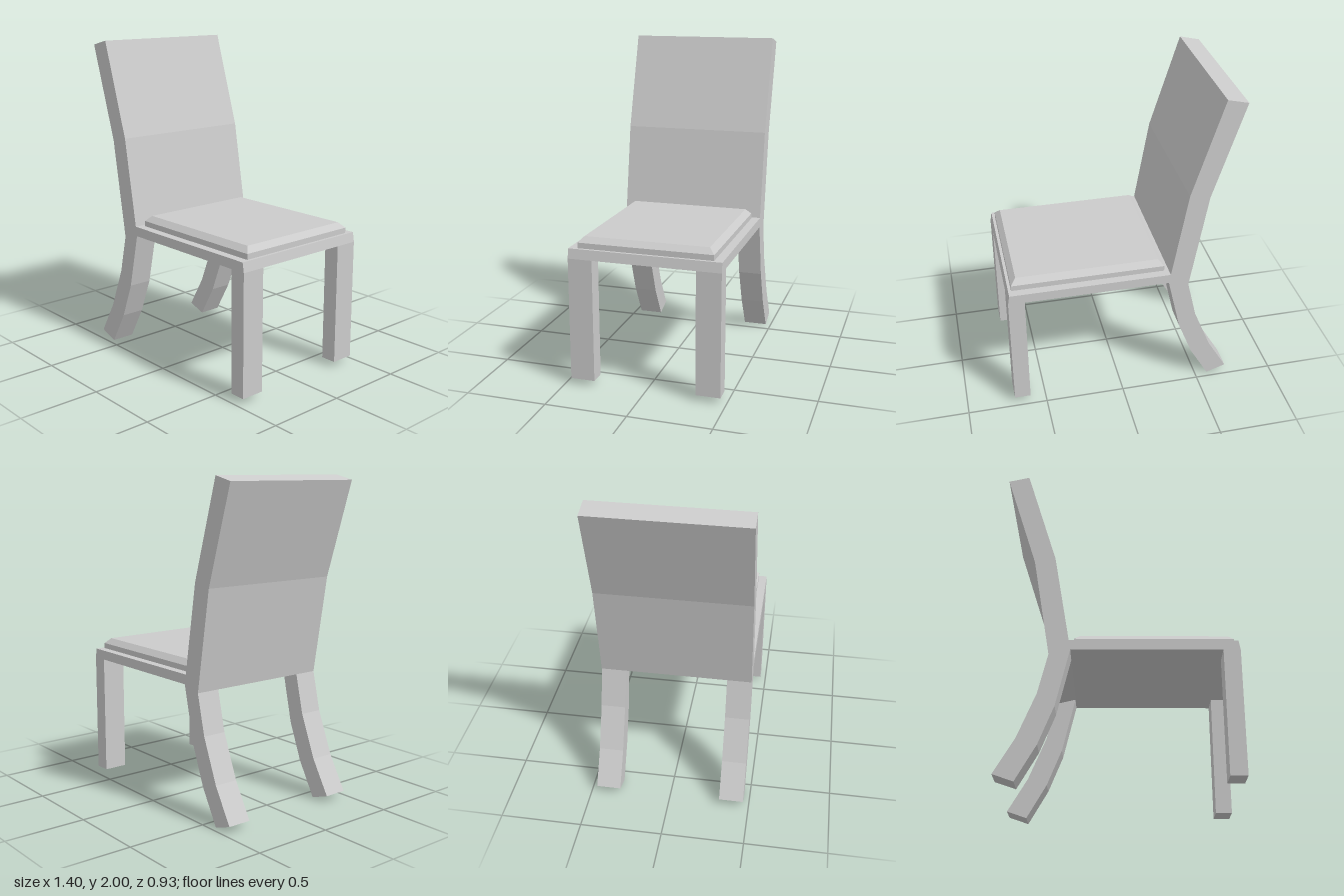
import * as THREE from 'three';

const HALF_WIDTH = 0.465;
const LEG_WIDTH = 0.15;

export function createModel() {
  const chair = new THREE.Group();
  chair.name = 'chair';
  const material = new THREE.MeshStandardMaterial({ color: 0xcccccc, flatShading: true });

  const add = (name, geometry) => {
    const mesh = new THREE.Mesh(geometry, material);
    mesh.name = name;
    chair.add(mesh);
    return mesh;
  };

  // Side profile (x, y) extruded across the chair, starting at z
  const addProfile = (name, points, z, width) => {
    const shape = new THREE.Shape(points.map(([x, y]) => new THREE.Vector2(x, y)));
    const geometry = new THREE.ExtrudeGeometry(shape, { depth: width, bevelEnabled: false });
    add(name, geometry).position.z = z;
  };

  // Bent backrest and seat slab in one piece
  addProfile('backrestAndSeat', [
    [-0.415, 0.765], [-0.29, 0.795], [0.7, 0.795], [0.69, 0.855], [-0.3, 0.855],
    [-0.393, 1.405], [-0.577, 2], [-0.702, 1.97], [-0.517, 1.38],
  ], -HALF_WIDTH, 2 * HALF_WIDTH);

  // Straight front legs and swept rear legs, one of each per side
  const frontLeg = [[0.6, 0.038], [0.7, 0.038], [0.7, 0.795], [0.6, 0.795]];
  const rearLeg = [
    [-0.702, 0.045], [-0.58, 0.003], [-0.46, 0.215], [-0.37, 0.445],
    [-0.29, 0.795], [-0.415, 0.765], [-0.473, 0.52], [-0.58, 0.255],
  ];
  for (const [side, z] of [['right', -HALF_WIDTH], ['left', HALF_WIDTH - LEG_WIDTH]]) {
    addProfile(`${side}FrontLeg`, frontLeg, z, LEG_WIDTH);
    addProfile(`${side}RearLeg`, rearLeg, z, LEG_WIDTH);
  }

  // Cushion: a two-tier box whose top edge is drawn in to form the chamfer
  const height = 0.068, chamfer = 0.033;
  const cushion = new THREE.BoxGeometry(0.944, height, 0.826, 1, 2, 1);
  const p = cushion.attributes.position;
  for (let i = 0; i < p.count; i++) {
    if (p.getY(i) > height / 4) {
      p.setX(i, p.getX(i) - Math.sign(p.getX(i)) * chamfer);
      p.setZ(i, p.getZ(i) - Math.sign(p.getZ(i)) * chamfer);
    }
  }
  cushion.computeVertexNormals();
  add('seatCushion', cushion).position.set(0.2, 0.855 + height / 2, 0);

  return chair;
}
